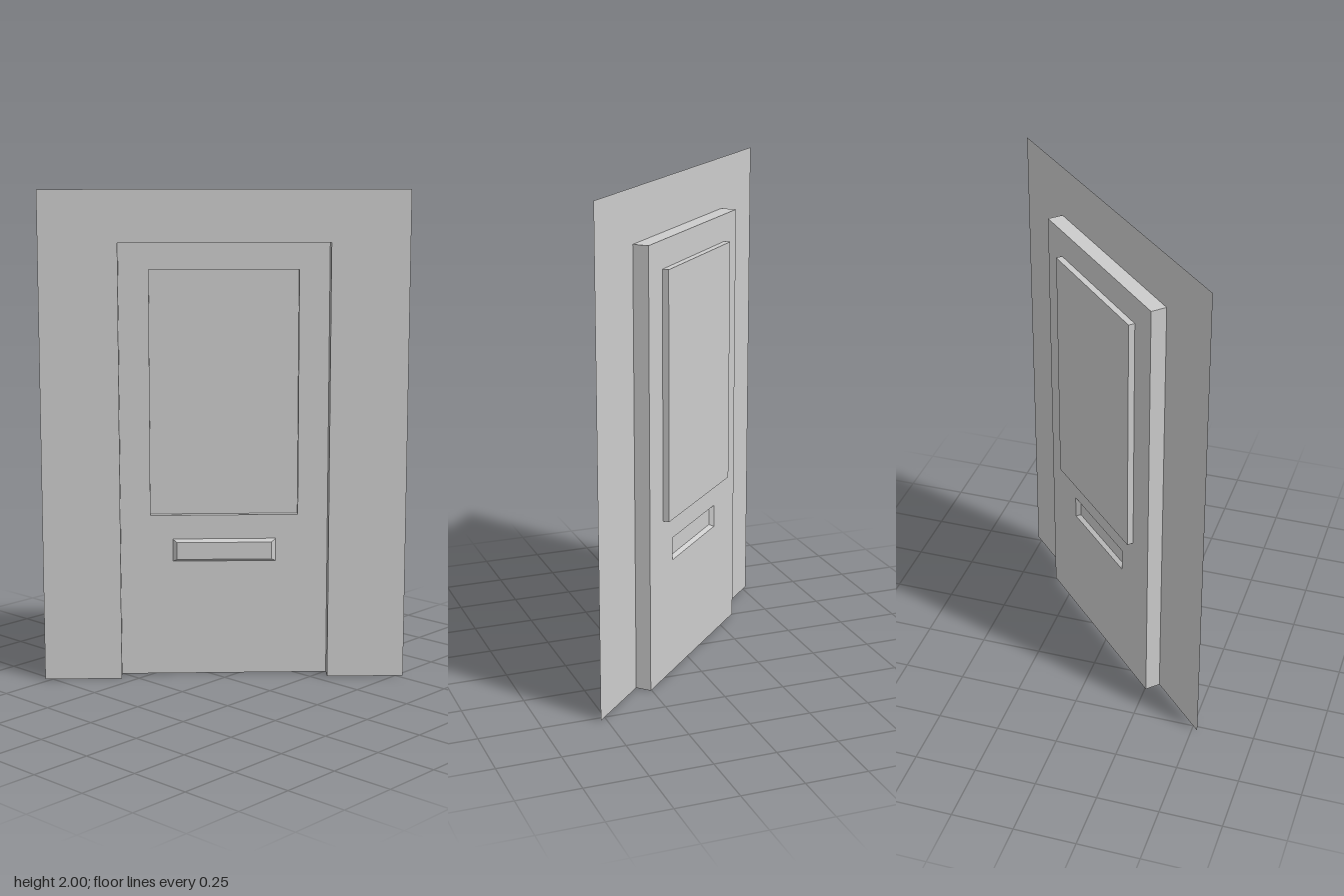
import * as THREE from 'three';

const material = new THREE.MeshStandardMaterial({ color: 0xcccccc, flatShading: true, side: THREE.DoubleSide });

// Flat outline at a given depth, with rectangular holes
const corners = ({ w, y0, y1 }) => [[-w, y0], [w, y0], [w, y1], [-w, y1]];
const vec2 = (pts) => pts.map(([x, y]) => new THREE.Vector2(x, y));

function sheet(name, outline, z, holes = []) {
  const shape = new THREE.Shape(vec2(outline));
  holes.forEach((h) => shape.holes.push(new THREE.Path(vec2(corners(h)))));
  const mesh = new THREE.Mesh(new THREE.ShapeGeometry(shape), material);
  mesh.name = name;
  mesh.position.z = z;
  return mesh;
}

// Side faces joining a front rectangle to a back one (edges: 0 bottom, 1 right, 2 top, 3 left)
function reveal(name, front, back, edges = [0, 1, 2, 3]) {
  const f = corners(front), b = corners(back), pos = [];
  for (const i of edges) {
    const j = (i + 1) % 4;
    const p = [...f[i], front.z], q = [...f[j], front.z];
    const r = [...b[j], back.z], s = [...b[i], back.z];
    pos.push(...p, ...q, ...r, ...p, ...r, ...s);
  }
  const geo = new THREE.BufferGeometry();
  geo.setAttribute('position', new THREE.Float32BufferAttribute(pos, 3));
  geo.computeVertexNormals();
  const mesh = new THREE.Mesh(geo, material);
  mesh.name = name;
  return mesh;
}

export function createModel() {
  const model = new THREE.Group();
  model.name = 'doorInWall';

  const W = 0.739, H = 2;
  const opening = { w: 0.424, y0: 0, y1: 1.79, z: 0 };
  const door = { ...opening, z: -0.064 };
  const panelRim = { w: 0.302, y0: 0.674, y1: 1.679, z: door.z };
  const panel = { ...panelRim, z: -0.09 };
  const slotBase = { w: 0.211, y0: 0.48, y1: 0.574, z: door.z };
  const slotFace = { w: 0.194, y0: 0.491, y1: 0.562, z: -0.048 };

  // Thin wall with a doorway notched out of its lower edge
  const { w, y1 } = opening;
  model.add(sheet('wall',
    [[-W, 0], [-w, 0], [-w, y1], [w, y1], [w, 0], [W, 0], [W, H], [-W, H]], 0));

  // Doorway sides and top, open at the floor
  model.add(reveal('doorway', opening, door, [1, 2, 3]));
  model.add(sheet('door', corners(door), door.z, [panelRim, slotBase]));

  // Sunken upper panel
  model.add(reveal('panelRim', panelRim, panel));
  model.add(sheet('panel', corners(panel), panel.z));

  // Raised letter slot with sloping sides
  model.add(reveal('letterSlotSides', slotFace, slotBase));
  model.add(sheet('letterSlotFace', corners(slotFace), slotFace.z));

  // The wall stands diagonally
  model.rotation.y = Math.PI / 4;
  const root = new THREE.Group();
  root.add(model);
  return root;
}
